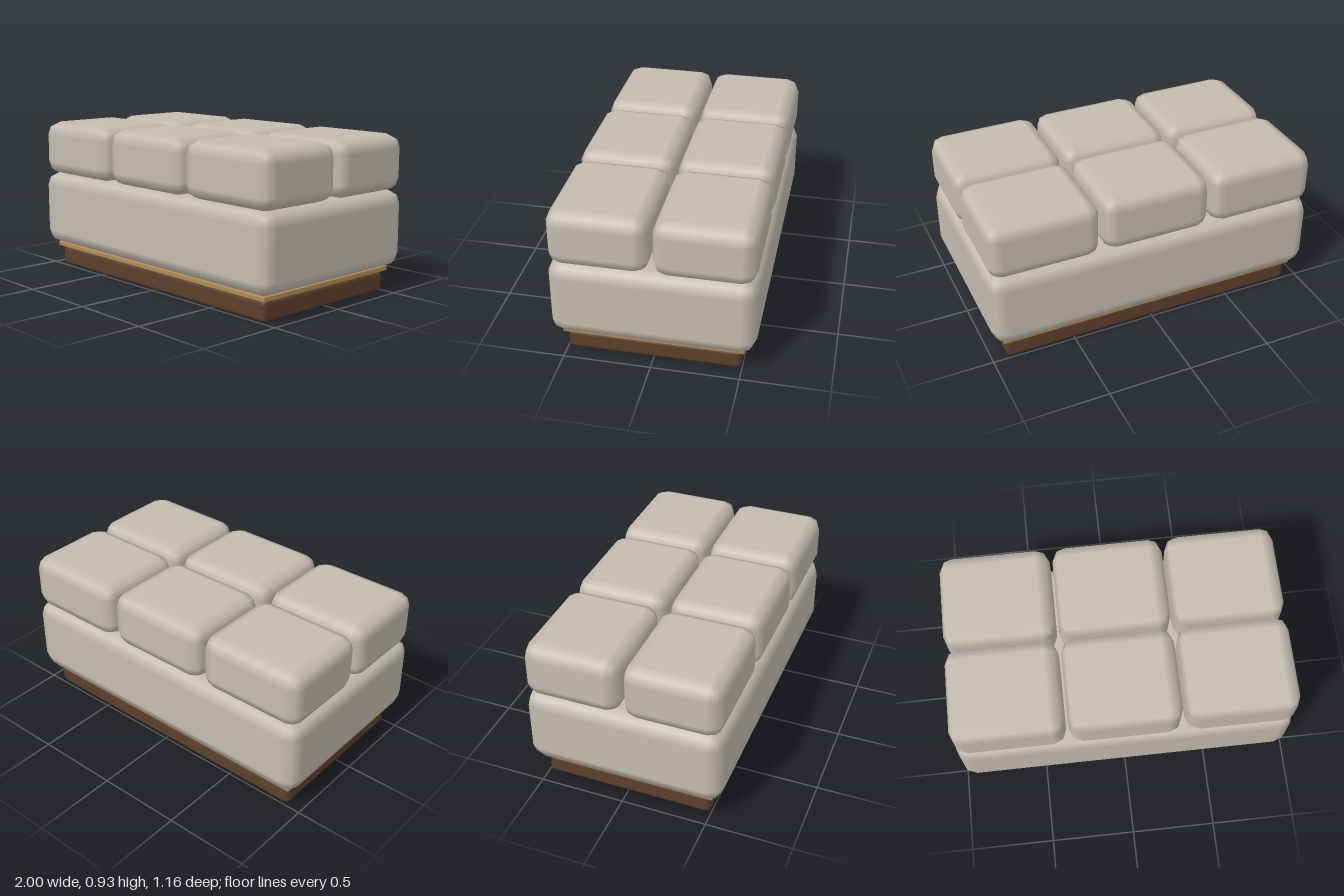
import * as THREE from 'three';
import { RoundedBoxGeometry } from 'three/addons/geometries/RoundedBoxGeometry.js';

export function createModel() {
  const model = new THREE.Group();
  model.name = 'ottoman';

  const material = (name, color) => {
    const m = new THREE.MeshStandardMaterial({ color });
    m.name = name;
    return m;
  };
  const fabric = material('fabric', 0xc4bcaf);
  const wood = material('wood', 0x5c402c);
  const brass = material('brass', 0xb08d57);

  // Soft box with one bevel ring, placed by its bottom height
  const softBox = (name, mat, [w, h, d], radius, x, bottom, z) => {
    const mesh = new THREE.Mesh(new RoundedBoxGeometry(w, h, d, 1, radius), mat);
    mesh.name = name;
    mesh.position.set(x, bottom + h / 2, z);
    model.add(mesh);
  };

  // Plinth, trim strip and upholstered body
  softBox('plinth', wood, [1.83, 0.12, 0.99], 0.025, 0, 0, 0);
  softBox('trim', brass, [1.868, 0.03, 1.03], 0.006, 0, 0.121, 0);
  softBox('body', fabric, [2, 0.46, 1.158], 0.085, 0, 0.149, 0);

  // Two rows of three cushions
  for (const [row, z] of [['front', 0.289], ['back', -0.289]]) {
    for (const [side, x] of [['Right', -0.668], ['Middle', 0], ['Left', 0.668]]) {
      softBox(`${row}${side}Cushion`, fabric, [0.652, 0.332, 0.563], 0.08, x, 0.597, z);
    }
  }
  return model;
}
